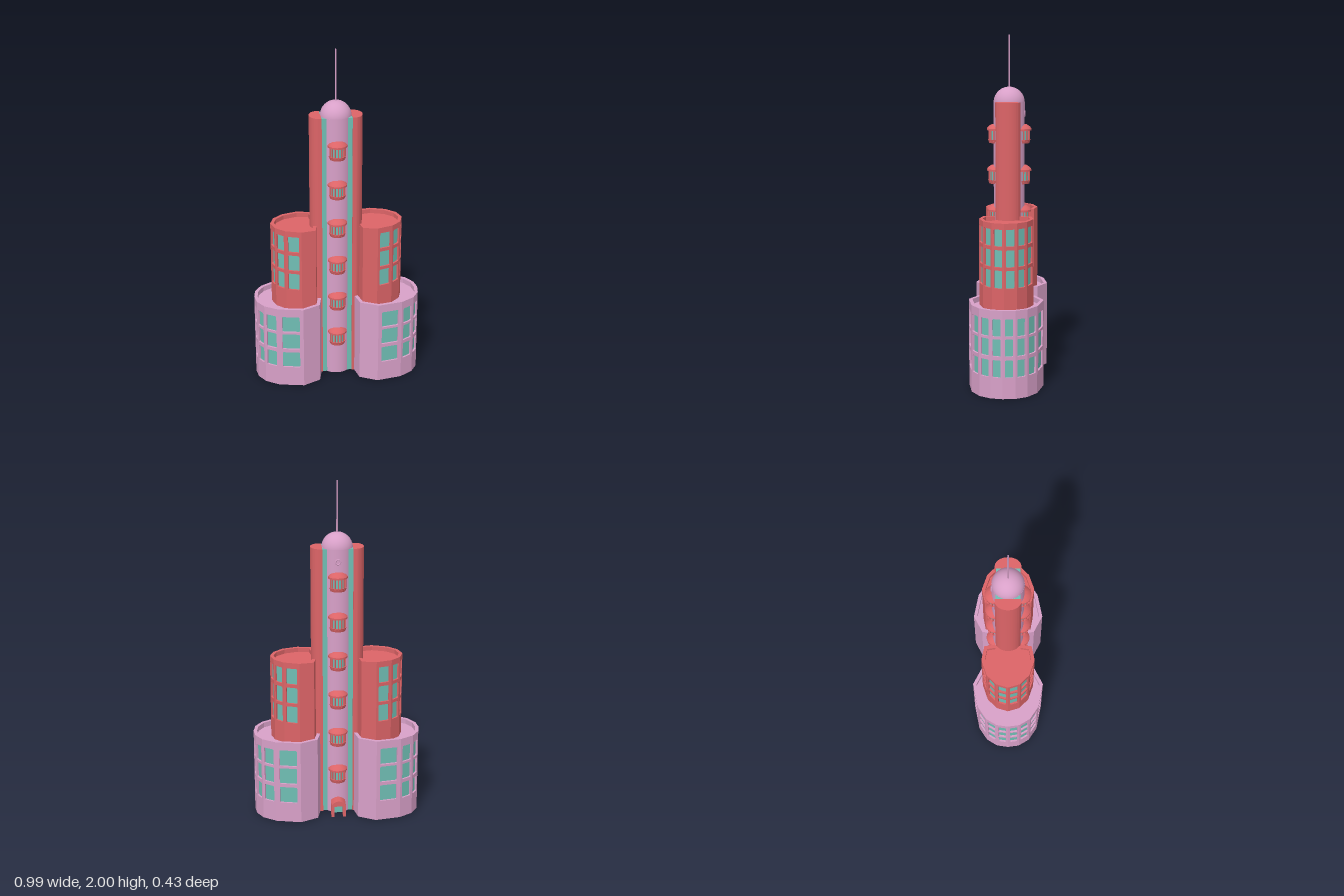
import * as THREE from 'three';
import { toCreasedNormals } from 'three/addons/utils/BufferGeometryUtils.js';

const material = (name, color, side = THREE.FrontSide) => {
  const m = new THREE.MeshStandardMaterial({ color, side });
  m.name = name;
  return m;
};

export function createModel() {
  const pink = material('pink', 0xd8a0c8);
  const red = material('coral red', 0xdc6467);
  const glass = material('teal glass', 0x70beb4);
  const purple = material('dark purple', 0x700050);

  const add = (parent, name, geometry, mat, x = 0, y = 0, z = 0) => {
    const mesh = new THREE.Mesh(geometry, mat);
    mesh.name = name;
    mesh.position.set(x, y, z);
    parent.add(mesh);
    return mesh;
  };
  const group = (parent, name) => {
    const g = new THREE.Group();
    g.name = name;
    parent.add(g);
    return g;
  };
  // Extrude a plan shape drawn in (x, -z) upwards
  const raise = (shape, height) =>
    new THREE.ExtrudeGeometry(shape, { depth: height, bevelEnabled: false, curveSegments: 20 }).rotateX(-Math.PI / 2);

  const roundedHole = (x0, y0, x1, y1, r) => {
    const p = new THREE.Path();
    p.moveTo(x0 + r, y0);
    p.lineTo(x1 - r, y0); p.quadraticCurveTo(x1, y0, x1, y0 + r);
    p.lineTo(x1, y1 - r); p.quadraticCurveTo(x1, y1, x1 - r, y1);
    p.lineTo(x0 + r, y1); p.quadraticCurveTo(x0, y1, x0, y1 - r);
    p.lineTo(x0, y0 + r); p.quadraticCurveTo(x0, y0, x0 + r, y0);
    return p;
  };

  // Faceted tower: one wall panel per plan edge, some pierced by windows
  function tower(parent, name, { plan, y0, top, roof, rows, windowed, low, mat, thick }) {
    const g = group(parent, name);
    plan.forEach(([ax, az], i) => {
      const [bx, bz] = plan[(i + 1) % plan.length];
      const width = Math.hypot(bx - ax, bz - az);
      const height = i === low ? roof : top;
      const shape = new THREE.Shape([[0, y0], [width, y0], [width, height], [0, height]].map(p => new THREE.Vector2(...p)));
      const hasWindows = i >= windowed[0] && i <= windowed[1];
      const margin = Math.max(0.012, width * 0.15);
      if (hasWindows) rows.forEach(([b, t]) => shape.holes.push(roundedHole(margin, b, width - margin, t, 0.007)));
      const dir = new THREE.Vector3(bx - ax, 0, bz - az).normalize();
      const up = new THREE.Vector3(0, 1, 0);
      const frame = new THREE.Matrix4().makeBasis(dir, up, dir.clone().cross(up)).setPosition(ax, 0, az);
      const wall = new THREE.ExtrudeGeometry(shape, { depth: thick, bevelEnabled: false, curveSegments: 3 });
      add(g, 'wallPanel', wall.translate(0, 0, -thick).applyMatrix4(frame), mat);
      if (hasWindows) {
        const b = rows[0][0] - 0.005, t = rows[rows.length - 1][1] + 0.003;
        const pane = new THREE.PlaneGeometry(width - margin, t - b).translate(width / 2, (b + t) / 2, -0.011);
        add(g, 'windowGlass', pane.applyMatrix4(frame), glass);
      }
    });
    // Solid floor and roof slabs, just inside the walls
    const slab = new THREE.Shape(plan.map(([x, z]) => new THREE.Vector2(0.27 + (x - 0.27) * 0.985, -z * 0.985)));
    add(g, 'floor', raise(slab, 0.01), mat, 0, y0, 0);
    add(g, 'roof', raise(slab, 0.01), mat, 0, roof - 0.01, 0);
  }

  const mirrorPlan = half => [...half, [half[half.length - 1][2], 0], ...half.slice().reverse().map(([x, z]) => [x, -z])];
  const lowerHalf = [[0.1, 0.07], [0.12, 0.162], [0.222, 0.215], [0.367, 0.186], [0.444, 0.135], [0.483, 0.07, 0.493]];
  const upperHalf = [[0.126, 0.075], [0.137, 0.138], [0.222, 0.155], [0.312, 0.124], [0.367, 0.07, 0.388]];

  const model = new THREE.Group();
  model.name = 'skyscraper';

  // Two side blocks, each a wide lower tower carrying a narrower upper one
  ['left', 'right'].forEach((side, i) => {
    const block = group(model, side + 'Block');
    block.rotation.y = i * Math.PI;
    block.position.z = 0.003;
    tower(block, 'lowerTower', {
      plan: mirrorPlan(lowerHalf), y0: 0, top: 0.505, roof: 0.475, thick: 0.02, mat: pink,
      rows: [[0.122, 0.222], [0.243, 0.342], [0.356, 0.456]], windowed: [2, 9], low: -1,
    });
    tower(block, 'upperTower', {
      plan: mirrorPlan(upperHalf), y0: 0.46, top: 0.973, roof: 0.948, thick: 0.02, mat: red,
      rows: [[0.603, 0.706], [0.724, 0.822], [0.842, 0.942]], windowed: [2, 7], low: 10,
    });
  });

  // Central shaft with dome and mast
  const core = group(model, 'core');
  core.position.set(-0.004, 0, 0.003);
  add(core, 'shaft', new THREE.CylinderGeometry(0.09, 0.09, 1.62, 40), pink, 0, 0.81, 0);
  add(core, 'dome', new THREE.SphereGeometry(0.09, 40, 14, 0, Math.PI * 2, 0, Math.PI / 2), pink, 0, 1.615, 0);
  add(core, 'mast', new THREE.CylinderGeometry(0.004, 0.005, 0.31, 10), pink, 0, 1.845, 0);
  add(core, 'shaftUnderside', new THREE.CylinderGeometry(0.084, 0.084, 0.004, 40), purple, 0, 0.001, 0);
  add(core, 'portholeRing', new THREE.TorusGeometry(0.014, 0.004, 8, 20), pink, 0, 1.55, -0.09);

  // Rounded fins and the glass strips joining them to the shaft
  const finShape = new THREE.Shape();
  finShape.moveTo(0.088, -0.072);
  finShape.lineTo(0.1, -0.072);
  finShape.absellipse(0.1, 0, 0.053, 0.072, -Math.PI / 2, Math.PI / 2, false);
  finShape.lineTo(0.088, 0.072);
  finShape.closePath();
  const finGeometry = toCreasedNormals(raise(finShape, 1.622), 0.6);
  for (const s of [1, -1]) {
    const fin = add(core, 'fin', finGeometry, red);
    fin.rotation.y = s > 0 ? 0 : Math.PI;
    add(core, 'glassStrip', new THREE.BoxGeometry(0.04, 1.618, 0.132), glass, s * 0.07, 0.81, 0);
  }

  // Covered bay balconies, front and back
  const capProfile = [[0, 0], [0.056, 0], [0.056, 0.01], [0.047, 0.022], [0.03, 0.033], [0, 0.039]].map(p => new THREE.Vector2(...p));
  const cap = toCreasedNormals(new THREE.LatheGeometry(capProfile, 28), 0.6);
  const base = new THREE.CylinderGeometry(0.05, 0.044, 0.02, 28);
  const bay = new THREE.CylinderGeometry(0.041, 0.041, 0.07, 24);
  const rail = new THREE.CylinderGeometry(0.05, 0.05, 0.008, 28, 1, false);
  const post = new THREE.BoxGeometry(0.006, 0.07, 0.006);
  for (const facing of [0, Math.PI]) {
    const column = group(core, facing ? 'backBalconies' : 'frontBalconies');
    column.rotation.y = facing;
    for (let i = 0; i < 6; i++) {
      const b = group(column, 'balcony');
      b.position.set(0, 0.2 + i * 0.2362, 0.073);
      add(b, 'balconyBase', base, red, 0, 0.01, 0);
      add(b, 'balconyGlass', bay, glass, 0, 0.05, 0);
      add(b, 'balconyLintel', rail, red, 0, 0.076, 0);
      add(b, 'balconyRoof', cap, red, 0, 0.074, 0);
      for (let k = -3; k <= 3; k++) {
        const a = k * 0.42;
        add(b, 'balconyPost', post, red, Math.sin(a) * 0.045, 0.045, Math.cos(a) * 0.045).rotation.y = a;
      }
    }
  }

  // Arched entrance porch at the back
  const arch = new THREE.Shape();
  arch.moveTo(-0.043, 0);
  arch.lineTo(-0.043, 0.075);
  arch.quadraticCurveTo(0, 0.125, 0.043, 0.075);
  arch.lineTo(0.043, 0);
  arch.lineTo(0.026, 0);
  arch.lineTo(0.026, 0.066);
  arch.lineTo(-0.026, 0.066);
  arch.lineTo(-0.026, 0);
  arch.closePath();
  const porch = new THREE.ExtrudeGeometry(arch, { depth: 0.085, bevelEnabled: false, curveSegments: 10 });
  add(core, 'porch', toCreasedNormals(porch, 0.5), red, 0, 0, -0.157);
  add(core, 'porchDoor', new THREE.BoxGeometry(0.052, 0.066, 0.008), glass, 0, 0.033, -0.093);

  return model;
}
